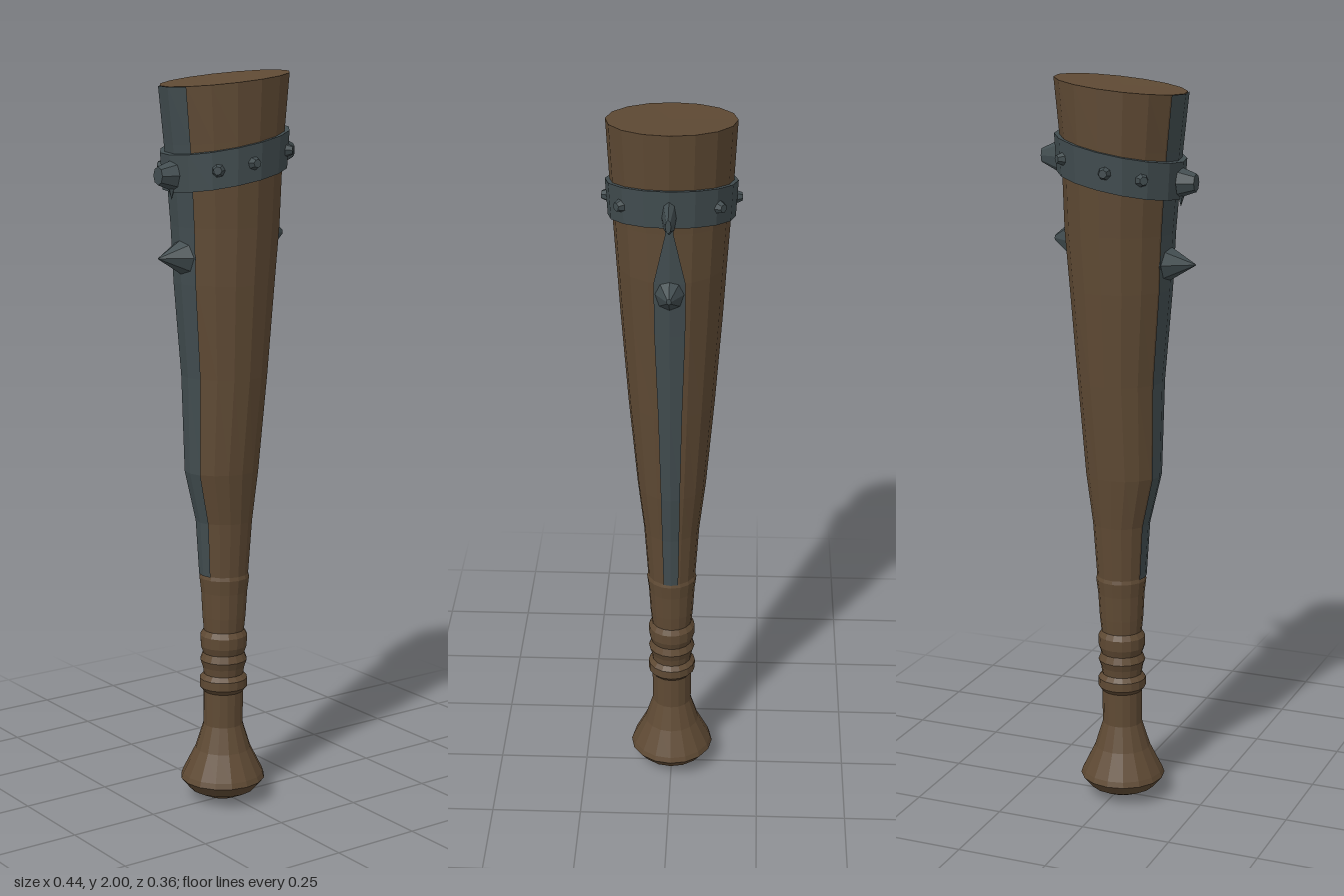
import * as THREE from 'three';

const SIDES = 16;
const wood = new THREE.MeshStandardMaterial({ color: 0x5f4a34 });
wood.name = 'darkWood';
const metal = new THREE.MeshStandardMaterial({ color: 0x424d50 });
metal.name = 'darkMetal';

// Cross-sections: [y, centre x, radius x, radius z, slope of y along x]
const headRows = [
  [0.65, -0.012, 0.066, 0.066, 0],
  [0.80, -0.011, 0.076, 0.076, 0],
  [0.94, -0.018, 0.102, 0.093, 0],
  [1.20, -0.010, 0.115, 0.115, 0],
  [1.45, -0.010, 0.135, 0.133, 0],
  [1.60, -0.007, 0.145, 0.142, 0],
  [1.72, -0.009, 0.151, 0.150, 0.1],
  [1.83, -0.010, 0.159, 0.157, 0.11],
  [1.98, -0.010, 0.175, 0.165, 0.114],
];
const handleRows = [
  [0.002, 0], [0.012, 0.045], [0.035, 0.092], [0.065, 0.117], [0.08, 0.112],
  [0.15, 0.077], [0.22, 0.055], [0.315, 0.055], [0.328, 0.066], [0.352, 0.066],
  [0.365, 0.055], [0.385, 0.058], [0.405, 0.065], [0.425, 0.057], [0.445, 0.064],
  [0.475, 0.065], [0.49, 0.056], [0.53, 0.06], [0.60, 0.064], [0.64, 0.069], [0.65, 0.066],
].map(([y, r]) => [y, -0.018 + 0.006 * Math.min(1, y / 0.65), r, r, 0]);

// Corner of a cross-section; k counts sides around from +x towards +z
function corner([y, cx, rx, rz, slope], k) {
  const a = (k / SIDES) * Math.PI * 2;
  const dx = rx * Math.cos(a);
  return new THREE.Vector3(cx + dx, y + slope * dx, rz * Math.sin(a));
}

// Faceted surface from a grid of points
function skin(grid) {
  const pos = [];
  const tri = (...p) => p.forEach((v) => pos.push(v.x, v.y, v.z));
  for (let i = 0; i < grid.length - 1; i++) {
    for (let k = 0; k < grid[i].length - 1; k++) {
      const a = grid[i][k], b = grid[i][k + 1], c = grid[i + 1][k], d = grid[i + 1][k + 1];
      if (a.distanceTo(b) > 1e-6) tri(a, d, b);
      if (c.distanceTo(d) > 1e-6) tri(a, c, d);
    }
  }
  const g = new THREE.BufferGeometry();
  g.setAttribute('position', new THREE.Float32BufferAttribute(pos, 3));
  g.computeVertexNormals();
  return g;
}

const loft = (rows) =>
  skin(rows.map((r) => Array.from({ length: SIDES + 1 }, (_, k) => corner(r, k))));

// Thin plate following the head around side k0; f is its half width in sides
function strip(rows, k0) {
  return skin(rows.map(([row, f]) => {
    const [y, cx, rx, rz, slope] = row;
    const r = [y, cx, rx + 0.004, rz + 0.004, slope];
    const mid = corner(r, k0);
    return [mid.clone().lerp(corner(r, k0 - 1), f), mid, mid.clone().lerp(corner(r, k0 + 1), f)];
  }));
}

function faceted(geometry) {
  const g = geometry.toNonIndexed();
  g.computeVertexNormals();
  return g;
}

export function createModel() {
  const club = new THREE.Group();
  club.name = 'club';
  const add = (name, geometry, material) => {
    const m = new THREE.Mesh(geometry, material);
    m.name = name;
    club.add(m);
    return m;
  };

  // Wooden shaft, with the slanted top closed at its centre
  add('handle', loft(handleRows), wood);
  add('head', loft([...headRows, [1.978, -0.01, 0, 0, 0]]), wood);

  // Metal strips down both sides
  const widths = [0.75, 0.75, 0.68, 0.68, 0.75, 0.72, 0.18, 0.15];
  add('leftStrip', strip(widths.map((f, i) => [headRows[i], f]), 0), metal);
  add('rightStrip', strip(headRows.map((r) => [r, 1]), SIDES / 2), metal);

  // Tilted metal band
  const bandSlope = 0.2;
  add('band', loft([
    [1.725, -0.01, 0.145, 0.145, bandSlope],
    [1.725, -0.01, 0.168, 0.162, bandSlope],
    [1.822, -0.01, 0.174, 0.168, bandSlope],
    [1.822, -0.01, 0.150, 0.150, bandSlope],
  ]), metal);

  // Round studs along the band, mirrored front to back
  for (const side of [1, -1]) {
    for (const deg of [48, 97, 130]) {
      const a = THREE.MathUtils.degToRad(deg);
      const dx = 0.168 * Math.cos(a);
      const stud = add('stud', faceted(new THREE.CylinderGeometry(0.011, 0.024, 0.034, 7)), metal);
      stud.position.set(-0.01 + dx, 1.773 + bandSlope * dx, side * 0.162 * Math.sin(a));
      stud.quaternion.setFromUnitVectors(
        new THREE.Vector3(0, 1, 0),
        new THREE.Vector3(Math.cos(a), 0, side * Math.sin(a)),
      );
    }
  }

  // Side spikes: [name, x at middle, y, tip radius, base radius, length, depth scale, direction]
  const spikes = [
    ['leftBandSpike', 0.187, 1.787, 0.018, 0.045, 0.056, 0.4, 1],
    ['rightBandSpike', -0.198, 1.735, 0.024, 0.04, 0.044, 0.9, -1],
    ['leftSpike', 0.149, 1.57, 0.008, 0.055, 0.056, 0.8, 1],
    ['rightSpike', -0.177, 1.522, 0.002, 0.055, 0.086, 1, -1],
  ];
  for (const [name, x, y, tip, base, length, depth, dir] of spikes) {
    const s = add(name, faceted(new THREE.CylinderGeometry(tip, base, length, 8)), metal);
    s.position.set(x, y, 0);
    s.rotation.z = -dir * Math.PI / 2;
    s.scale.z = depth;
  }

  // Small barb hanging under the band
  const barb = add('barb', faceted(new THREE.ConeGeometry(0.016, 0.05, 5)), metal);
  barb.position.set(-0.178, 1.697, 0);
  barb.rotation.z = Math.PI;

  return club;
}
